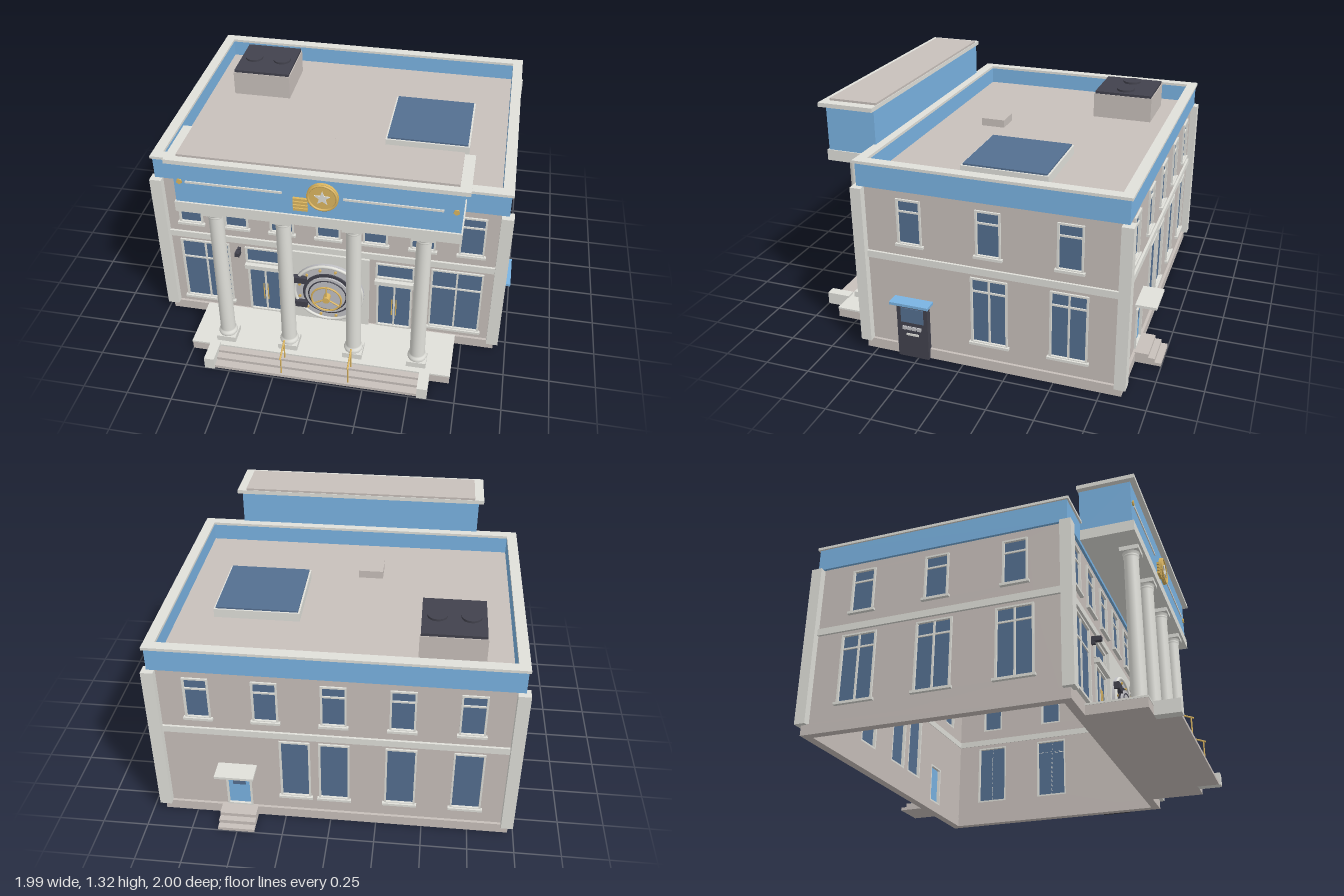
import * as THREE from 'three';

const mat = (name, color) => Object.assign(new THREE.MeshStandardMaterial({ color }), { name });
const stone = mat('warm stone', 0xc8c0bb);
const trim = mat('pale trim', 0xe0e0da);
const blue = mat('blue band', 0x7ab3e2);
const glass = mat('glass', 0x546f90);
const dark = mat('dark metal', 0x42424d);
const gold = mat('gold', 0xdcb660);
const steel = mat('steel', 0xc0c0c4);
stone.side = THREE.DoubleSide;

const CX = -0.02, CZ = -0.148;   // building centre
const HX = 0.935, HZ = 0.695;    // wall half sizes
const T = 0.03;                  // wall thickness

function add(parent, name, geo, material, x = 0, y = 0, z = 0) {
  const m = new THREE.Mesh(geo, material);
  m.name = name;
  m.position.set(x, y, z);
  parent.add(m);
  return m;
}

// Box given by its limits
function box(parent, name, material, x0, x1, y0, y1, z0, z1) {
  return add(parent, name, new THREE.BoxGeometry(x1 - x0, y1 - y0, z1 - z0), material,
    (x0 + x1) / 2, (y0 + y1) / 2, (z0 + z1) / 2);
}

// Disc or drum facing +z, from z0 to z1
function disc(parent, name, material, r, x, y, z0, z1, sides = 40) {
  const g = new THREE.CylinderGeometry(r, r, z1 - z0, sides).rotateX(Math.PI / 2);
  return add(parent, name, g, material, x, y, (z0 + z1) / 2);
}

// Round bar between two points
function rod(parent, name, material, a, b, r) {
  const path = new THREE.LineCurve3(new THREE.Vector3(...a), new THREE.Vector3(...b));
  return add(parent, name, new THREE.TubeGeometry(path, 1, r, 8), material);
}

function rectPath(P, x0, x1, y0, y1) {
  const p = new P();
  p.moveTo(x0, y0); p.lineTo(x1, y0); p.lineTo(x1, y1); p.lineTo(x0, y1); p.closePath();
  return p;
}

// Rectangular ring around the building
function ring(parent, name, material, hx, hz, t, y0, y1) {
  const s = rectPath(THREE.Shape, -hx, hx, -hz, hz);
  s.holes.push(rectPath(THREE.Path, -hx + t, hx - t, -hz + t, hz - t));
  const g = new THREE.ExtrudeGeometry(s, { depth: y1 - y0, bevelEnabled: false }).rotateX(-Math.PI / 2);
  return add(parent, name, g, material, 0, y0, 0);
}

// Frame, pane, bars and sill in a wall opening
function windowUnit(parent, o) {
  const g = new THREE.Group(), f = 0.01;
  g.name = o.name || 'window';
  const x0 = o.x - o.w / 2, x1 = o.x + o.w / 2;
  const s = rectPath(THREE.Shape, x0, x1, o.y0, o.y1);
  s.holes.push(rectPath(THREE.Path, x0 + f, x1 - f, o.y0 + f, o.y1 - f));
  add(g, 'windowFrame', new THREE.ExtrudeGeometry(s, { depth: T + 0.01, bevelEnabled: false }), trim, 0, 0, -T);
  box(g, 'pane', o.pane || glass, x0 + f, x1 - f, o.y0 + f, o.y1 - f, -0.012, -0.004);
  if (o.bar) box(g, 'crossBar', trim, x0 + f, x1 - f, o.bar - 0.005, o.bar + 0.005, -0.012, 0.003);
  if (o.mullion) box(g, 'mullion', trim, o.x - 0.005, o.x + 0.005, o.y0 + f, o.y1 - f, -0.012, 0.004);
  if (o.sill) box(g, 'sill', trim, x0 - 0.01, x1 + 0.01, o.y0 - 0.008, o.y0 + 0.006, 0, 0.02);
  parent.add(g);
}

// Wall with openings; local +z points outwards
function wall(parent, name, half, dist, angle, openings) {
  const g = new THREE.Group();
  g.name = name;
  const s = rectPath(THREE.Shape, -half, half, 0, 0.965);
  for (const o of openings) s.holes.push(rectPath(THREE.Path, o.x - o.w / 2, o.x + o.w / 2, o.y0, o.y1));
  add(g, 'wallPanel', new THREE.ExtrudeGeometry(s, { depth: T, bevelEnabled: false }), stone, 0, 0, -T);
  openings.forEach(o => windowUnit(g, o));
  g.rotation.y = angle;
  g.position.set(Math.sin(angle) * dist, 0, Math.cos(angle) * dist);
  parent.add(g);
  return g;
}

const upper = x => ({ x, w: 0.135, y0: 0.66, y1: 0.915, bar: 0.845, sill: true });
const tall = (x, w = 0.2) => ({ x, w, y0: 0.15, y1: 0.535, bar: w > 0.18 ? 0.455 : 0, mullion: w > 0.18, sill: true });

function buildVault(parent) {
  const v = new THREE.Group();
  v.name = 'vaultDoor';
  box(parent, 'vaultSurround', trim, -0.23, 0.23, 0.06, 0.55, -T - 0.003, 0.018);
  disc(v, 'vaultRing', steel, 0.205, 0, 0, 0.018, 0.035);
  add(v, 'ringLip', new THREE.TorusGeometry(0.195, 0.01, 8, 48), trim, 0, 0, 0.035);
  disc(v, 'vaultGasket', dark, 0.145, 0, 0, 0.03, 0.045);
  disc(v, 'vaultPlate', steel, 0.128, 0, 0, 0.04, 0.056);
  add(v, 'innerRing', new THREE.TorusGeometry(0.108, 0.004, 8, 40), dark, 0, 0, 0.056);
  add(v, 'wheelRim', new THREE.TorusGeometry(0.085, 0.0055, 8, 40), gold, 0, 0, 0.085);
  disc(v, 'wheelHub', gold, 0.02, 0, 0, 0.056, 0.1, 20);
  for (let i = 0; i < 3; i++) {
    const a = Math.PI / 2 + i * Math.PI * 2 / 3;
    rod(v, 'wheelSpoke', gold, [0, 0, 0.085], [0.092 * Math.cos(a), 0.092 * Math.sin(a), 0.085], 0.005);
  }
  for (let i = 0; i < 12; i++) {
    const a = (i + 0.5) * Math.PI / 6;
    disc(v, 'bolt', gold, 0.008, 0.17 * Math.cos(a), 0.17 * Math.sin(a), 0.03, 0.043, 10);
  }
  for (const y of [-0.09, 0.09]) box(v, 'hinge', dark, -0.2, -0.12, y - 0.02, y + 0.02, 0.03, 0.06);
  v.position.set(0, 0.285, 0);
  parent.add(v);
}

function buildSign(parent, z) {
  // Star medallion, stacked coins and ruled lines
  disc(parent, 'medallion', gold, 0.08, 0.04, 1.17, z, z + 0.015);
  add(parent, 'medallionRim', new THREE.TorusGeometry(0.072, 0.006, 8, 40), gold, 0.04, 1.17, z + 0.016);
  const star = new THREE.Shape();
  for (let i = 0; i < 10; i++) {
    const a = Math.PI / 2 + i * Math.PI / 5, r = i % 2 ? 0.017 : 0.042;
    star[i ? 'lineTo' : 'moveTo'](r * Math.cos(a), r * Math.sin(a));
  }
  add(parent, 'star', new THREE.ExtrudeGeometry(star, { depth: 0.006, bevelEnabled: false }), trim, 0.04, 1.17, z + 0.015);
  for (let i = 0; i < 4; i++) box(parent, 'coin', gold, -0.11, -0.037, 1.074 + i * 0.02, 1.088 + i * 0.02, z, z + 0.014);
  box(parent, 'signLine', trim, -0.66, -0.165, 1.16, 1.172, z, z + 0.006);
  box(parent, 'signLine', trim, 0.14, 0.63, 1.16, 1.172, z, z + 0.006);
  for (const x of [-0.69, 0.69]) disc(parent, 'signStud', gold, 0.016, x, 1.166, z, z + 0.008, 5);
}

function buildColumn(parent, x, z) {
  const g = new THREE.Group();
  g.name = 'column';
  box(g, 'columnPlinth', trim, -0.054, 0.054, 0.06, 0.095, -0.054, 0.054);
  const pts = [[0.05, 0.095], [0.053, 0.104], [0.05, 0.115], [0.044, 0.122], [0.042, 0.13], [0.039, 0.925],
    [0.043, 0.93], [0.043, 0.938], [0.04, 0.942], [0.048, 0.958]].map(p => new THREE.Vector2(...p));
  add(g, 'columnShaft', new THREE.LatheGeometry(pts, 24), trim);
  box(g, 'columnCapital', trim, -0.052, 0.052, 0.956, 0.98, -0.052, 0.052);
  g.position.set(x, 0, z);
  parent.add(g);
}

export function createModel() {
  const model = new THREE.Group();
  model.name = 'bankBuilding';
  const b = new THREE.Group();
  b.name = 'building';
  b.position.set(CX, 0, CZ);
  model.add(b);

  // Walls with windows
  const front = [-3, -2, -1, 0, 1, 2, 3].map(k => upper(k * 0.259));
  for (const s of [-1, 1]) {
    front.push({ x: s * 0.715, w: 0.285, y0: 0.105, y1: 0.535, bar: 0.405, mullion: true, sill: true });
    front.push({ x: s * 0.373, w: 0.215, y0: 0.42, y1: 0.53, name: 'transom' });
    front.push({ x: s * 0.373, w: 0.2, y0: 0.06, y1: 0.385, mullion: true, name: 'entranceDoor' });
  }
  const f = wall(b, 'frontWall', HX, HZ, 0, front);
  const sideZ = [0.43, 0, -0.425];
  const r = wall(b, 'rightWall', HZ - T, HX, Math.PI / 2,
    [...sideZ.map(z => upper(-z)), ...sideZ.slice(1).map(z => tall(-z))]);
  wall(b, 'leftWall', HZ - T, HX, -Math.PI / 2, [...sideZ.map(z => upper(z)), ...sideZ.map(z => tall(z))]);
  const k = wall(b, 'backWall', HX, HZ, Math.PI, [
    ...[-2, -1, 0, 1, 2].map(i => upper(i * 0.355)), ...[-0.21, 0, 0.355, 0.71].map(x => tall(x, 0.165)),
    { x: -0.525, w: 0.14, y0: 0.06, y1: 0.3, pane: blue, name: 'backDoor' }]);

  // Entrance details
  for (const s of [-1, 1]) {
    box(f, 'doorLintel', trim, s * 0.373 - 0.11, s * 0.373 + 0.11, 0.388, 0.415, 0, 0.03);
    for (const d of [-0.012, 0.012])
      rod(f, 'doorHandle', gold, [s * 0.373 + d, 0.155, 0.008], [s * 0.373 + d, 0.275, 0.008], 0.0035);
    box(f, 'cameraMount', dark, s * 0.515 - 0.008, s * 0.515 + 0.008, 0.475, 0.52, 0, 0.02);
    box(f, 'cameraBody', dark, s * 0.515 - 0.013, s * 0.515 + 0.013, 0.49, 0.515, 0.015, 0.055);
  }
  buildVault(f);

  // Cash machine with awning
  box(r, 'cashMachine', dark, -0.513, -0.337, 0, 0.33, 0, 0.035);
  box(r, 'cashScreen', glass, -0.488, -0.36, 0.215, 0.3, 0.035, 0.04);
  for (let i = 0; i < 4; i++) box(r, 'key', steel, -0.48 + i * 0.028, -0.458 + i * 0.028, 0.172, 0.19, 0.035, 0.045);
  box(r, 'cashSlot', trim, -0.46, -0.39, 0.135, 0.147, 0.035, 0.04);
  box(r, 'awning', blue, -0.535, -0.315, 0.33, 0.345, 0, 0.075);

  // Back door pane, canopy and steps
  box(k, 'backDoorWindow', glass, -0.56, -0.49, 0.2, 0.27, -0.006, -0.001);
  box(k, 'backCanopy', trim, -0.63, -0.42, 0.338, 0.352, 0, 0.115);
  [[0.06, 0.085], [0.04, 0.12], [0.018, 0.155]].forEach(([y, z]) => box(k, 'backStep', stone, -0.625, -0.425, 0, y, 0, z));

  // Plinth, belt course, corner piers and parapet
  ring(b, 'plinth', stone, 0.95, 0.71, 0.047, 0, 0.058);
  ring(b, 'beltCourse', trim, 0.948, 0.708, 0.046, 0.557, 0.595);
  ring(b, 'parapet', blue, 0.95, 0.71, 0.048, 0.96, 1.085);
  ring(b, 'parapetCap', trim, 0.96, 0.72, 0.058, 1.085, 1.1);
  for (const x of [-1, 1]) for (const z of [-1, 1]) {
    const p = box(b, 'cornerPier', trim, -0.0325, 0.0325, 0.055, 0.955, -0.03, 0.03);
    p.position.x = x * 0.9425;
    p.position.z = z * 0.705;
  }

  // Roof and rooftop units
  add(b, 'roof', new THREE.PlaneGeometry(1.82, 1.34).rotateX(-Math.PI / 2), stone, 0, 0.99, 0);
  box(model, 'ventUnit', stone, -0.78, -0.435, 0.99, 1.135, -0.675, -0.325);
  box(model, 'ventTop', dark, -0.775, -0.44, 1.135, 1.15, -0.67, -0.33);
  for (const x of [-0.695, -0.52]) add(model, 'ventFan', new THREE.CylinderGeometry(0.053, 0.053, 0.012, 24), dark, x, 1.156, -0.5);
  box(model, 'skylightCurb', trim, 0.215, 0.685, 0.99, 1.04, -0.385, 0.09);
  box(model, 'skylightGlass', glass, 0.225, 0.675, 1.04, 1.049, -0.375, 0.08);
  box(model, 'roofHatch', stone, -0.2, -0.06, 0.99, 1.035, 0.12, 0.26);

  // Portico: floor, steps, columns and entablature
  const p = new THREE.Group();
  p.name = 'portico';
  p.position.x = CX;
  model.add(p);
  box(p, 'porchBase', stone, -0.73, 0.73, 0, 0.05, 0.555, 0.868);
  box(p, 'porchFloor', trim, -0.732, 0.732, 0.05, 0.06, 0.555, 0.87);
  [[0.05, 0.905], [0.035, 0.945], [0.018, 0.99]].forEach(([y, z]) => box(p, 'frontStep', stone, -0.565, 0.565, 0, y, 0.86, z));
  for (const s of [-1, 1]) {
    const c = box(p, 'stepCheek', trim, -0.028, 0.028, 0, 0.072, 0.865, 1);
    c.position.x = s * 0.593;
    rod(p, 'railPost', gold, [s * 0.187, 0.01, 0.975], [s * 0.187, 0.138, 0.975], 0.004);
    rod(p, 'railPost', gold, [s * 0.187, 0.04, 0.89], [s * 0.187, 0.17, 0.89], 0.004);
    rod(p, 'handRail', gold, [s * 0.187, 0.132, 0.99], [s * 0.187, 0.175, 0.88], 0.005);
    buildColumn(p, s * 0.54, 0.785);
    buildColumn(p, s * 0.183, 0.785);
  }
  box(p, 'architrave', trim, -0.727, 0.727, 0.98, 1.04, 0.56, 0.85);
  box(p, 'signBand', blue, -0.72, 0.72, 1.04, 1.285, 0.56, 0.84);
  box(p, 'porticoCornice', trim, -0.75, 0.75, 1.285, 1.308, 0.555, 0.87);
  box(p, 'porticoRoof', stone, -0.695, 0.695, 1.308, 1.32, 0.558, 0.83);
  buildSign(p, 0.84);
  return model;
}
